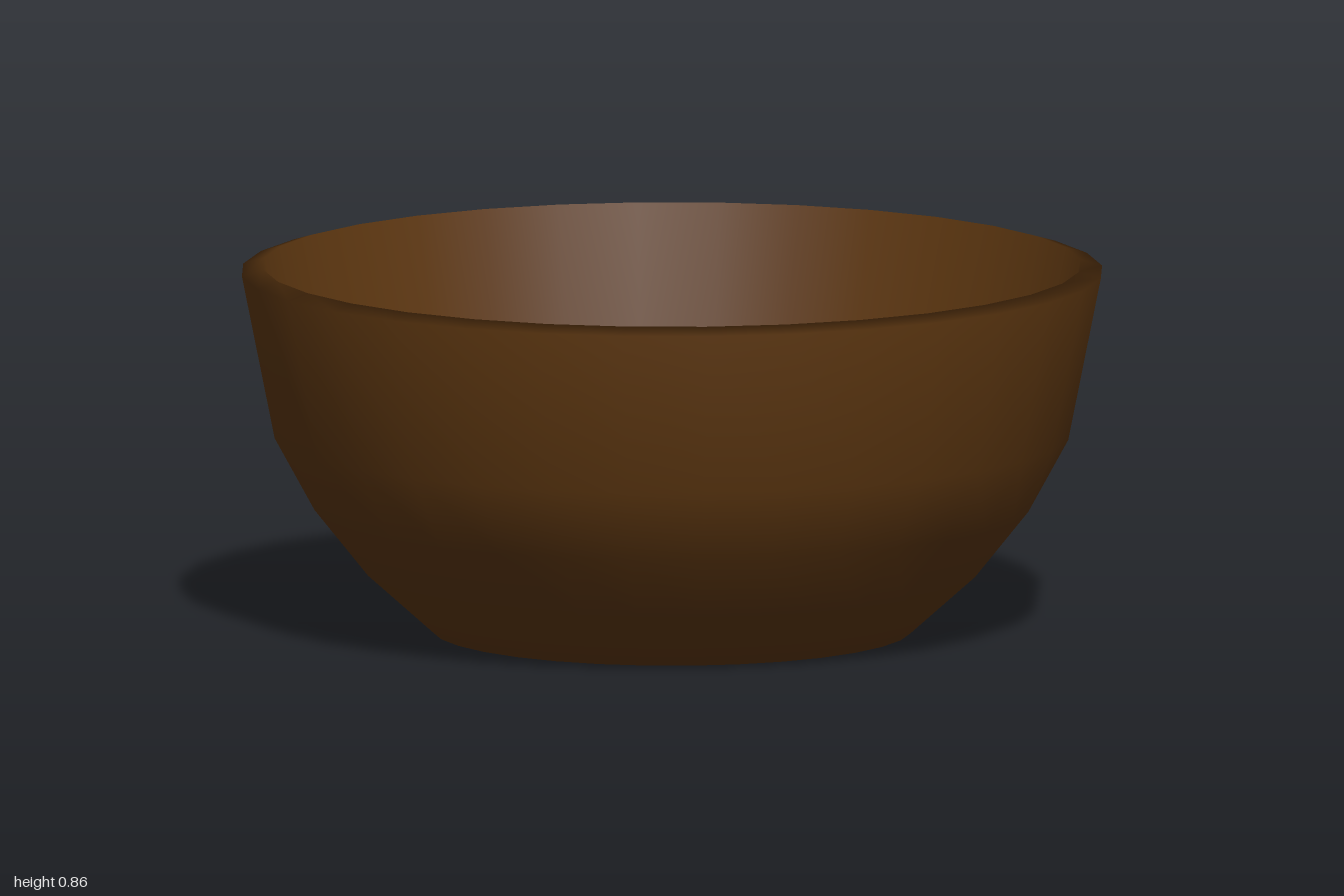
import * as THREE from 'three';

const SEGMENTS = 32;

function lathe(name, points, material) {
  const profile = points.map(([r, y]) => new THREE.Vector2(r, y));
  const mesh = new THREE.Mesh(new THREE.LatheGeometry(profile, SEGMENTS), material);
  mesh.name = name;
  return mesh;
}

export function createModel() {
  const group = new THREE.Group();
  group.name = 'bowl';
  const wood = new THREE.MeshStandardMaterial({ color: 0x5c3610 });

  // Wall: up the outside, over the rim, down the inside to the floor
  group.add(lathe('bowlWall', [
    [0.556, 0], [0.707, 0.135], [0.831, 0.29], [0.924, 0.46], [1, 0.84],
    [0.95, 0.855],
    [0.88, 0.475], [0.79, 0.315], [0.67, 0.17], [0.53, 0.05], [0.4, 0.05], [0, 0.05],
  ], wood));

  // Flat underside
  group.add(lathe('base', [[0, 0], [0.556, 0]], wood));

  return group;
}
